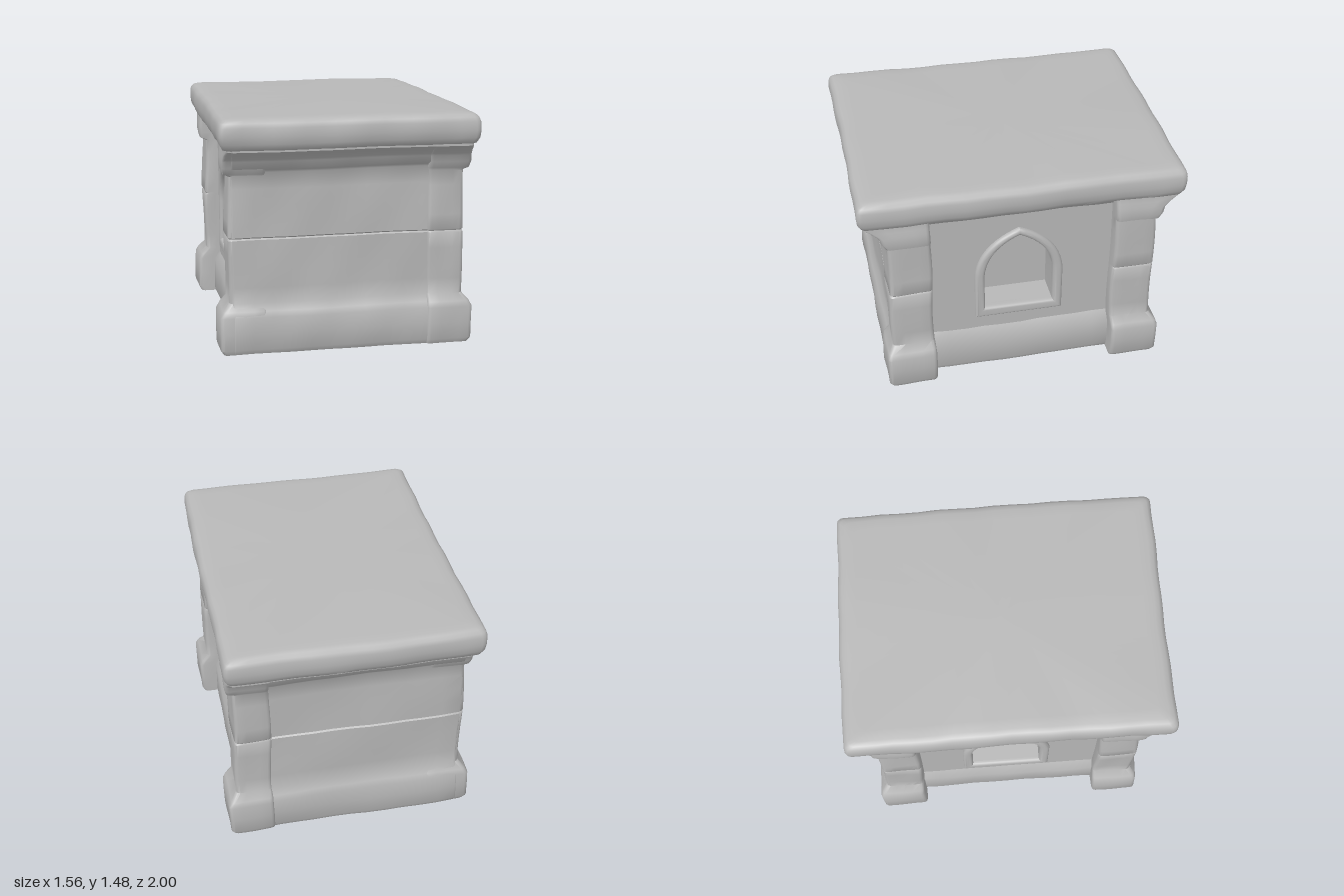
import * as THREE from 'three';
import { toCreasedNormals } from 'three/addons/utils/BufferGeometryUtils.js';

const stone = new THREE.MeshStandardMaterial({ color: 0xb8b8b8 });
stone.name = 'grey stone';

// Worn, slightly crooked masonry: a gentle wobble plus a small lean along z
function weather(geo, amount) {
  const p = geo.attributes.position;
  for (let i = 0; i < p.count; i++) {
    const x = p.getX(i), y = p.getY(i), z = p.getZ(i);
    const wx = Math.sin(9 * y + 4 * z + 1) + 0.7 * Math.sin(17 * z - 8 * y);
    const wy = Math.sin(6 * x + 7 * z) + 0.6 * Math.sin(15 * z + 5 * x + 2);
    const wz = Math.sin(8 * y + 5 * x) + 0.7 * Math.sin(16 * x - 9 * y + 1);
    p.setXYZ(i, x + amount * wx, y + 0.017 * z + amount * 0.6 * wy, z + amount * wz);
  }
  return geo;
}

// Closed loop around a rectangle with rounded corners
function ring([y, x0, x1, z0, z1], r, n) {
  const corners = [[x1 - r, z1 - r], [x0 + r, z1 - r], [x0 + r, z0 + r], [x1 - r, z0 + r]];
  const pts = [];
  corners.forEach(([cx, cz], c) => {
    const arc = [0, 1, 2, 3].map(k => {
      const a = (c + k / 3) * Math.PI / 2;
      return [cx + r * Math.cos(a), y, cz + r * Math.sin(a)];
    });
    pts.push(...arc);
    const [nx, nz] = corners[(c + 1) % 4];
    const a = (c + 1) * Math.PI / 2;
    const end = [nx + r * Math.cos(a), y, nz + r * Math.sin(a)];
    for (let k = 1; k < n; k++) pts.push(arc[3].map((v, i) => v + (end[i] - v) * k / n));
  });
  return pts;
}

// Stack of rectangles [y, x0, x1, z0, z1] skinned into one weathered block
function block(name, levels, r = 0.025, n = 8, amount = 0.004) {
  const rows = [];
  levels.forEach((l, i) => {
    const next = levels[i + 1];
    const steps = next ? Math.max(1, Math.ceil((next[0] - l[0]) / 0.12)) : 1;
    for (let k = 0; k < steps; k++) rows.push(next ? l.map((v, j) => v + (next[j] - v) * k / steps) : l);
  });
  const pos = [], idx = [];
  rows.forEach(l => pos.push(...ring(l, r, n).flat()));
  const m = pos.length / 3 / rows.length;
  for (let j = 0; j < rows.length - 1; j++)
    for (let i = 0; i < m; i++) {
      const a = j * m + i, b = j * m + (i + 1) % m;
      idx.push(a, a + m, b, b, a + m, b + m);
    }
  const last = (rows.length - 1) * m, centre = rows.length * m;
  for (const l of [rows[0], rows[rows.length - 1]]) pos.push((l[1] + l[2]) / 2, l[0], (l[3] + l[4]) / 2);
  for (let i = 0; i < m; i++) {
    const k = (i + 1) % m;
    idx.push(centre, i, k, centre + 1, last + k, last + i);
  }
  const geo = new THREE.BufferGeometry();
  geo.setAttribute('position', new THREE.Float32BufferAttribute(pos, 3));
  geo.setIndex(idx);
  const mesh = new THREE.Mesh(toCreasedNormals(weather(geo, amount), 0.75), stone);
  mesh.name = name;
  return mesh;
}

// Order a pair so a mirrored part keeps its winding
const span = (a, b) => (a < b ? [a, b] : [b, a]);

// Pointed arch outline, set slightly off the middle of the wall
function arch(Type, half, bottom, spring, top) {
  const s = new Type(), c = -0.015;
  s.moveTo(c - half, bottom);
  s.lineTo(c + half, bottom);
  s.lineTo(c + half, spring);
  s.quadraticCurveTo(c + half * 0.92, spring + (top - spring) * 0.68, c, top);
  s.quadraticCurveTo(c - half * 0.92, spring + (top - spring) * 0.68, c - half, spring);
  s.closePath();
  return s;
}

// Flat shape raised outwards along the given side of x
function sidePlate(name, shape, side, from, depth, bevel) {
  const geo = new THREE.ExtrudeGeometry(shape, {
    depth: depth - bevel, bevelEnabled: bevel > 0, bevelSize: bevel, bevelOffset: -bevel,
    bevelThickness: bevel, bevelSegments: 4, curveSegments: 12
  });
  geo.translate(0, 0, from);
  geo.rotateY(side * Math.PI / 2);
  const mesh = new THREE.Mesh(toCreasedNormals(weather(geo, 0), 0.75), stone);
  mesh.name = name;
  return mesh;
}

export function createModel() {
  const model = new THREE.Group();
  model.name = 'stone block house';

  // Inner core, whose sides are the backs of the niches
  model.add(block('core', [[0.02, -0.45, 0.45, -0.7, 0.7], [1.3, -0.45, 0.45, -0.7, 0.7]], 0.01, 4, 0));

  // Thick roof slab with rounded, worn edges and a flat top
  const slab = [[1.272, 0.05], [1.282, 0.025], [1.315, 0.008], [1.36, 0.002], [1.41, 0.004],
    [1.436, 0.013], [1.453, 0.032], [1.46, 0.06], [1.463, 0.12]];
  model.add(block('roofSlab', slab.map(([y, inset]) =>
    [y, inset - 0.775, 0.775 - inset, inset - 0.995, 0.995 - inset]), 0.035, 16, 0.004));

  for (const end of [1, -1]) {
    const label = end > 0 ? 'front' : 'back';
    // Wall with plinth, joint between courses and stepped cornice
    const wall = [
      [0.02, 0.85], [0.05, 0.866], [0.25, 0.866], [0.285, 0.85], [0.33, 0.825],
      [0.718, 0.822], [0.726, 0.812], [0.734, 0.822], [1.125, 0.818], [1.14, 0.83],
      [1.155, 0.85], [1.195, 0.862], [1.21, 0.875], [1.24, 0.912], [1.265, 0.955], [1.3, 0.955]
    ];
    model.add(block(label + 'Wall', wall.map(([y, z]) => [y, -0.7, 0.7, ...span(end * 0.585, end * z)]), 0.015, 12));

    // Corner piers with plinth and capital; the left ones stand proud of the wall
    for (const side of [1, -1]) {
      const proud = side > 0 ? 0.01 : -0.006;
      const pier = [
        [0.02, 0.755, 0.855], [0.05, 0.773, 0.87], [0.25, 0.773, 0.87], [0.285, 0.755, 0.86],
        [0.33, 0.716, 0.825], [0.716, 0.718, 0.825], [0.726, 0.71, 0.818], [0.736, 0.718, 0.825],
        [1.1, 0.708, 0.82], [1.115, 0.742, 0.83], [1.155, 0.75, 0.85], [1.195, 0.747, 0.862],
        [1.21, 0.745, 0.875], [1.24, 0.74, 0.912], [1.265, 0.735, 0.95], [1.3, 0.735, 0.95]
      ];
      model.add(block(label + (side > 0 ? 'Left' : 'Right') + 'Pier', pier.map(([y, x, z]) =>
        [y, ...span(side * 0.49, side * x), ...span(end * 0.57, end * (z + proud))]), 0.025, 4));
    }
  }

  for (const side of [1, -1]) {
    const label = side > 0 ? 'left' : 'right';
    // Recessed side panel pierced by the niche
    const panel = new THREE.Shape([[-0.6, 0.02], [0.6, 0.02], [0.6, 1.3], [-0.6, 1.3]].map(p => new THREE.Vector2(...p)));
    panel.holes.push(arch(THREE.Path, 0.218, 0.48, 0.74, 1.03));
    model.add(sidePlate(label + 'Panel', panel, side, 0.44, 0.185, 0));

    // Raised, rounded pointed frame around the niche
    const frame = arch(THREE.Shape, 0.28, 0.41, 0.74, 1.08);
    frame.holes.push(arch(THREE.Path, 0.218, 0.48, 0.74, 1.03));
    model.add(sidePlate(label + 'NicheFrame', frame, side, 0.6, 0.055, 0.022));

    // Low base course and cornice strip of the panel
    const strip = (name, rows) => model.add(block(label + name,
      rows.map(([y, x]) => [y, ...span(side * 0.5, side * x), -0.6, 0.6]), 0.01, 10, 0.003));
    strip('PanelBase', [[0.02, 0.65], [0.05, 0.665], [0.25, 0.665], [0.32, 0.62]]);
    strip('PanelCornice', [[1.175, 0.62], [1.195, 0.645], [1.22, 0.655], [1.255, 0.7], [1.3, 0.71]]);
  }
  return model;
}
